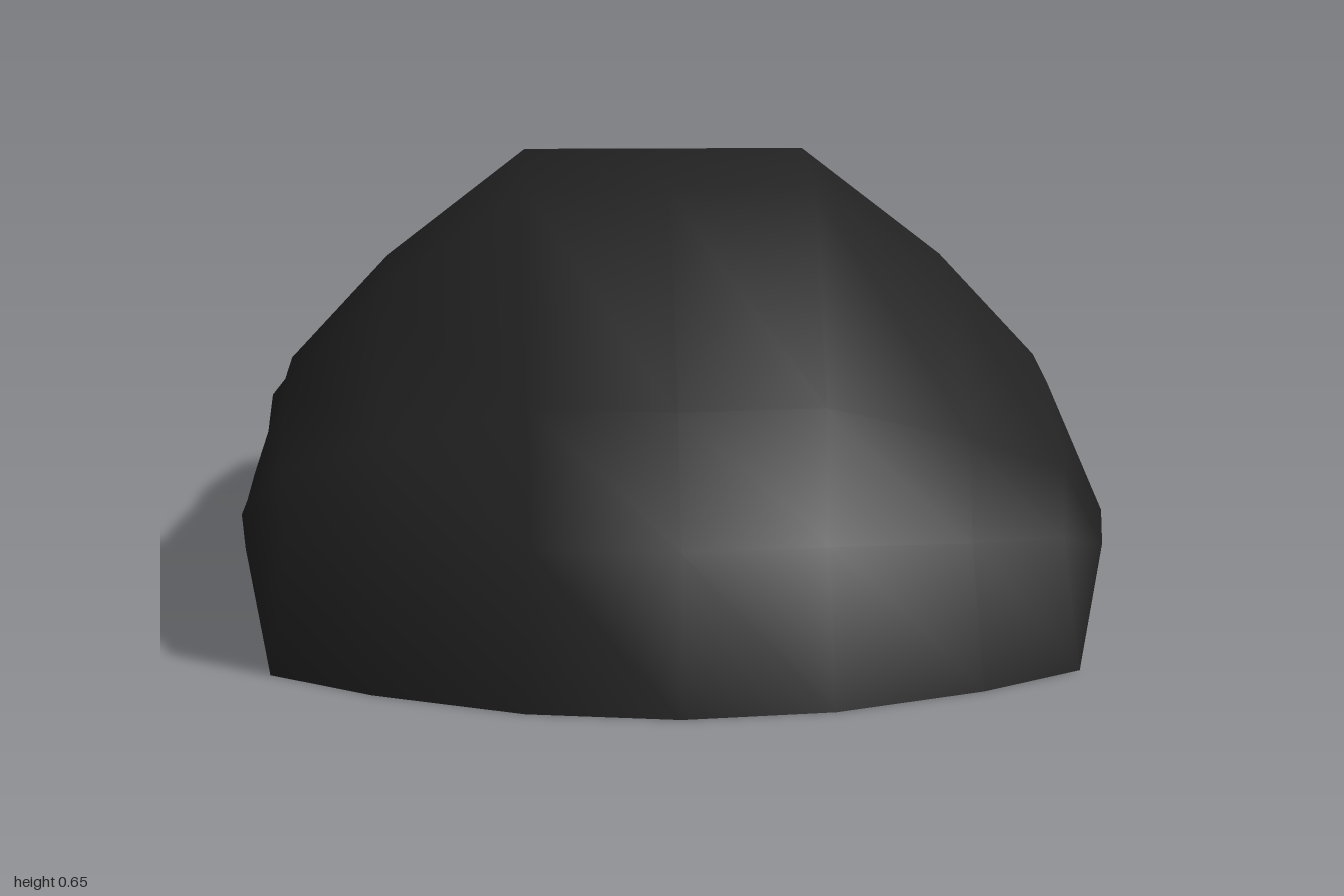
import * as THREE from 'three';

// Rows along the centre line: z, height, how far the sides sweep to the middle,
// how strongly the row falls away at the sides, width factor
const ROWS = [
  [1.0, 0.0, 0.3, 0, 1],
  [0.96, 0.22, 0.28, 0.3, 0.96],
  [0.82, 0.385, 0.25, 0.65, 0.98],
  [0.4, 0.635, 0.15, 1, 1],
  [0.06, 0.65, 0, 1, 1],
  [-0.39, 0.51, -0.1, 0.95, 1],
  [-0.76, 0.36, -0.28, 0.65, 1],
  [-0.92, 0.21, -0.22, 0.3, 0.94],
  [-1.0, 0.0, -0.3, 0, 0.97],
];

// Half cross-section from the middle outwards: crown, shoulder, waist, foot
const X = [0, 0.21, 0.42, 0.565, 0.625, 0.565];
const Y = [1, 1, 0.75, 0.51, 0.23, 0];
const FOOT = X.length - 1;

function shellPoint([z, h, bow, fall, width], col) {
  const k = Math.abs(col);
  const y = k === FOOT ? 0 : h * THREE.MathUtils.lerp(1, Y[k], fall);
  const half = k === 4 ? 0.565 + 0.06 * Math.min(1, y / 0.13) : X[k];
  const x = Math.sign(col) * half * width;
  return new THREE.Vector3(x, y, z - bow * (x / 0.6) ** 2);
}

// Smooth domed shell lofted through the rows
function shellGeometry() {
  const points = [];
  const index = [];
  const cols = FOOT * 2 + 1;
  ROWS.forEach((row, i) => {
    for (let c = -FOOT; c <= FOOT; c++) points.push(shellPoint(row, c));
    if (i === ROWS.length - 1) return;
    for (let j = 0; j < cols - 1; j++) {
      const a = i * cols + j;
      const b = a + cols;
      index.push(a, a + 1, b, a + 1, b + 1, b);
    }
  });
  const geometry = new THREE.BufferGeometry().setFromPoints(points);
  geometry.setIndex(index);
  geometry.computeVertexNormals();
  return geometry;
}

// Flat underside following the foot of the shell
function baseGeometry() {
  const outline = [];
  const last = ROWS.length - 1;
  const add = (row, col) => {
    const p = shellPoint(ROWS[row], col);
    outline.push(new THREE.Vector2(p.x, p.z));
  };
  for (let c = -3; c <= 3; c++) add(0, c);
  for (let i = 1; i < last; i++) add(i, FOOT);
  for (let c = 3; c >= -3; c--) add(last, c);
  for (let i = last - 1; i > 0; i--) add(i, -FOOT);
  return new THREE.ShapeGeometry(new THREE.Shape(outline)).rotateX(Math.PI / 2);
}

// Raised wheel hump: side profile extruded across, narrower at the crest
function wheelGeometry() {
  const profile = [[0.39, 0.505], [0.57, 0.38], [0.76, 0.35], [0.705, 0.485], [0.56, 0.53]];
  const shape = new THREE.Shape(profile.map(([x, y]) => new THREE.Vector2(x, y)));
  const geometry = new THREE.ExtrudeGeometry(shape, { depth: 0.2, bevelEnabled: false });
  geometry.translate(0, 0, -0.1).rotateY(Math.PI / 2);
  const p = geometry.attributes.position;
  for (let i = 0; i < p.count; i++) {
    if (p.getY(i) > 0.45) p.setX(i, p.getX(i) * 0.7);
  }
  geometry.computeVertexNormals();
  return geometry;
}

export function createModel() {
  const group = new THREE.Group();
  group.name = 'computerMouse';
  const black = new THREE.MeshStandardMaterial({ color: 0x222222 });
  black.name = 'blackPlastic';
  const add = (name, geometry) => {
    const mesh = new THREE.Mesh(geometry, black);
    mesh.name = name;
    group.add(mesh);
  };
  add('shell', shellGeometry());
  add('base', baseGeometry());
  add('scrollWheel', wheelGeometry());
  return group;
}
